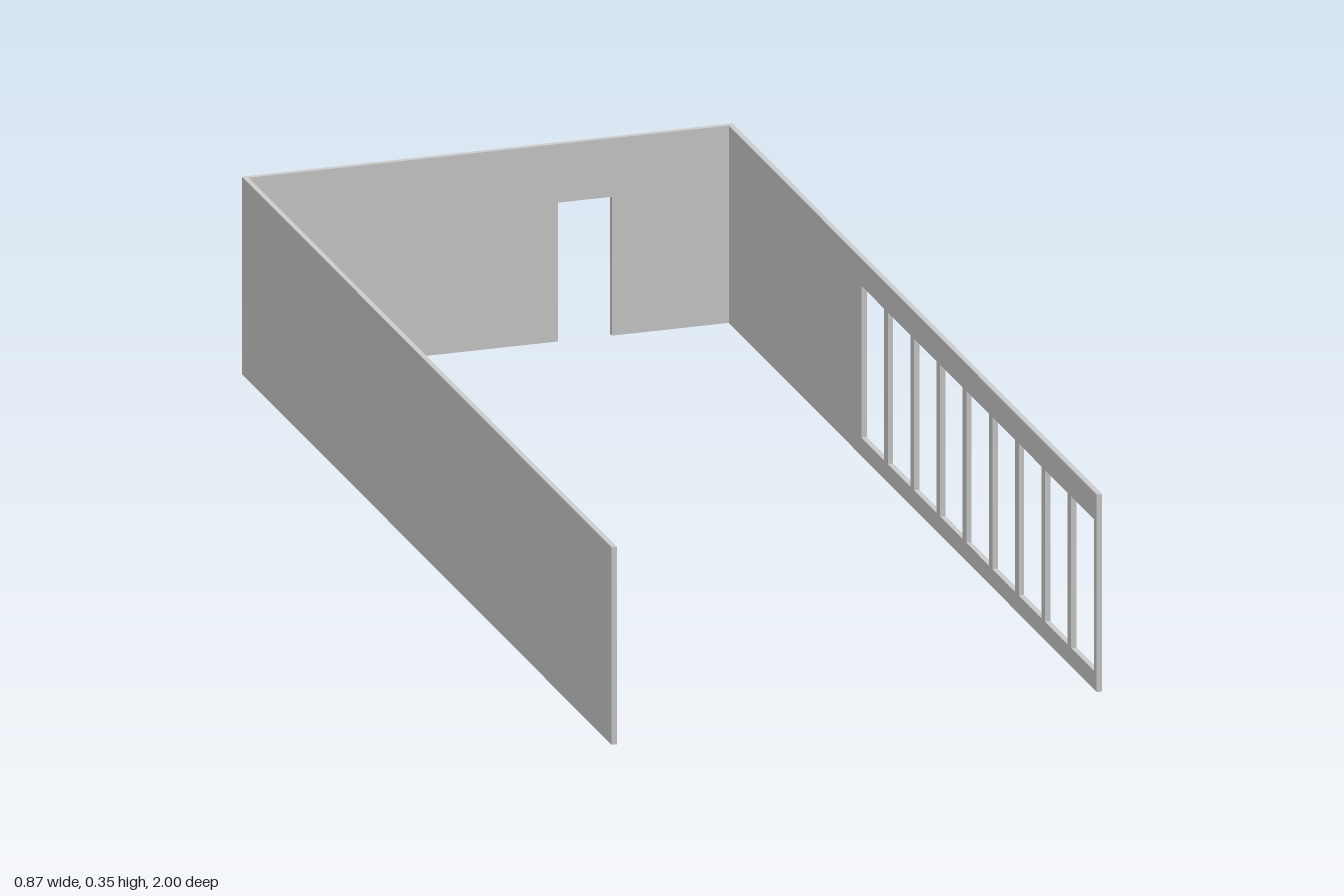
import * as THREE from 'three';

const HALF_W = 0.437, HALF_L = 1, HEIGHT = 0.354, THICK = 0.0095;

function polygon(points, Type = THREE.Shape) {
  return new Type(points.map(([x, y]) => new THREE.Vector2(x, y)));
}

function rect(x0, y0, x1, y1, Type) {
  return polygon([[x0, y0], [x1, y0], [x1, y1], [x0, y1]], Type);
}

export function createModel() {
  const group = new THREE.Group();
  const material = new THREE.MeshStandardMaterial({ color: 0xcccccc, flatShading: true });

  const addWall = (name, shape) => {
    const geometry = new THREE.ExtrudeGeometry(shape, { depth: THICK, bevelEnabled: false });
    const mesh = new THREE.Mesh(geometry, material);
    mesh.name = name;
    group.add(mesh);
    return mesh;
  };

  // Left wall, with a row of nine tall window openings towards the front
  const windowed = rect(-HALF_L, 0, HALF_L, HEIGHT);
  const count = 9, pitch = 0.1418, width = 0.122;
  for (let i = 0; i < count; i++) {
    const start = -0.984 + i * pitch;
    windowed.holes.push(rect(start, 0.033, start + width, 0.305, THREE.Path));
  }
  const leftWall = addWall('windowWall', windowed);
  leftWall.rotation.y = Math.PI / 2;
  leftWall.position.x = HALF_W - THICK;

  // Right wall, solid
  const rightWall = addWall('solidWall', rect(-HALF_L, 0, HALF_L, HEIGHT));
  rightWall.rotation.y = Math.PI / 2;
  rightWall.position.x = -HALF_W;

  // Back wall, fitted between the sides, with a doorway open to the floor
  const inner = HALF_W - THICK, doorL = 0.123, doorR = 0.219, doorTop = 0.249;
  const backWall = addWall('doorWall', polygon([
    [-inner, 0], [doorL, 0], [doorL, doorTop], [doorR, doorTop],
    [doorR, 0], [inner, 0], [inner, HEIGHT], [-inner, HEIGHT],
  ]));
  backWall.position.z = -HALF_L;

  return group;
}
